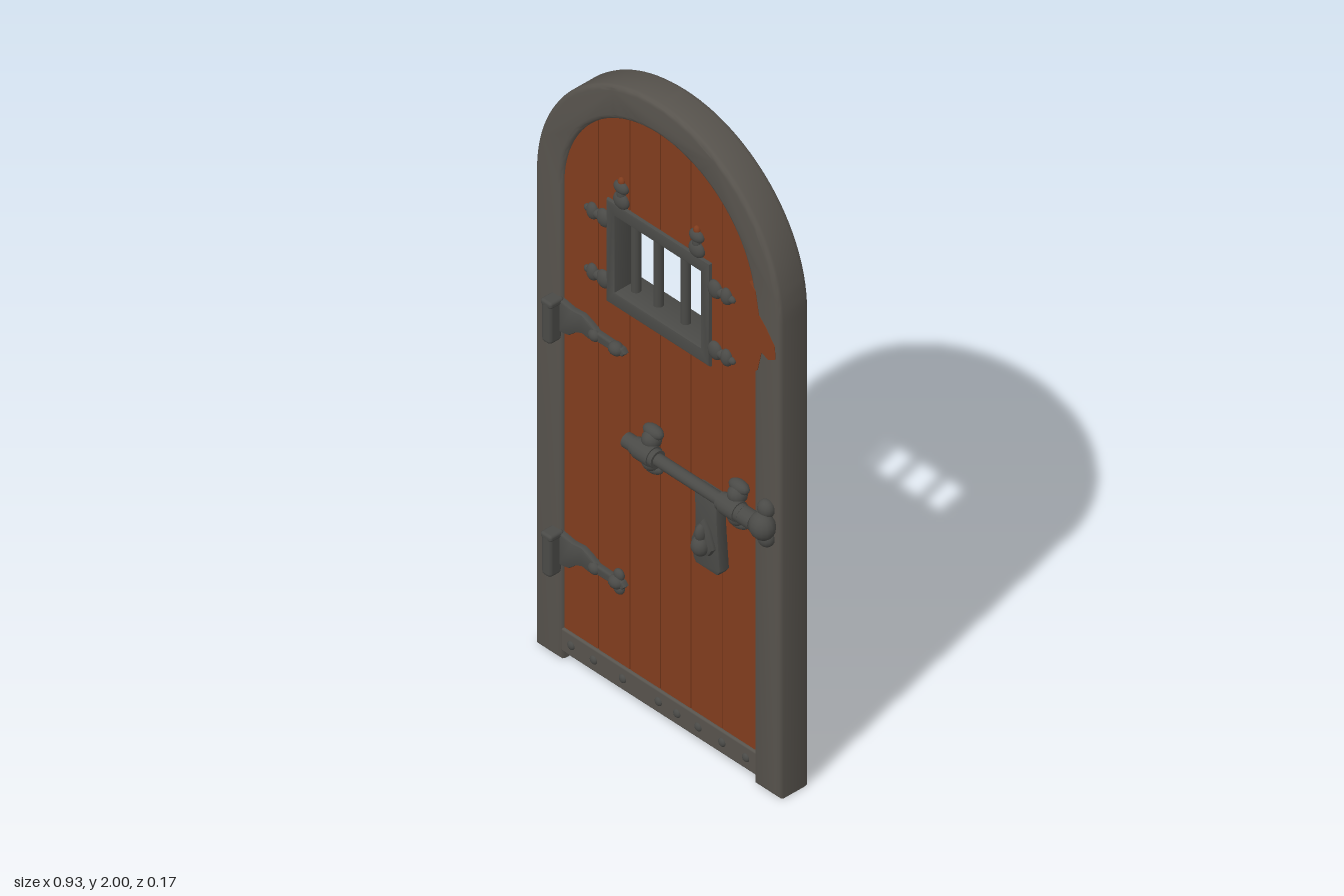
import * as THREE from 'three';
import { toCreasedNormals } from 'three/addons/utils/BufferGeometryUtils.js';
import { RoundedBoxGeometry } from 'three/addons/geometries/RoundedBoxGeometry.js';

const stone = new THREE.MeshStandardMaterial({ name: 'frame grey', color: 0x57534d });
const iron = new THREE.MeshStandardMaterial({ name: 'iron grey', color: 0x4a4a47 });
const wood = new THREE.MeshStandardMaterial({ name: 'red brown wood', color: 0x803c1d });

const ARCH_Y = 1.537; // spring line of the arch
const BACK = -0.085, FRONT = 0.02;
const WIN = { x: 0.18, y0: 1.28, y1: 1.565 };

function add(parent, name, geometry, material, x = 0, y = 0, z = 0) {
  const mesh = new THREE.Mesh(geometry, material);
  mesh.name = name;
  mesh.position.set(x, y, z);
  parent.add(mesh);
  return mesh;
}

// Extrudes a shape from z0 to z1 with an inset bevel
function slab(shape, z0, z1, bevel = 0, segments = 2) {
  const g = new THREE.ExtrudeGeometry(shape, {
    depth: z1 - z0 - 2 * bevel, curveSegments: 28, bevelEnabled: bevel > 0,
    bevelThickness: bevel, bevelSize: bevel, bevelOffset: -bevel, bevelSegments: segments,
  });
  g.translate(0, 0, z0 + bevel);
  return toCreasedNormals(g, 0.6);
}

const poly = (points) => new THREE.Shape(points.map(([x, y]) => new THREE.Vector2(x, y)));
const rect = (x0, x1, y0, y1) => poly([[x0, y0], [x1, y0], [x1, y1], [x0, y1]]);
const box = (w, h, d, r = 0.006) => new RoundedBoxGeometry(w, h, d, 2, r);

function ball(parent, name, x, y, z, rx, ry = rx, rz = rx, material = iron) {
  const m = add(parent, name, new THREE.SphereGeometry(1, 14, 10), material, x, y, z);
  m.scale.set(rx, ry, rz);
  return m;
}

// Strip of wood whose top follows the arch
function archedStrip(x0, x1, y0) {
  const pts = [[x0, y0], [x1, y0]];
  for (let i = 0; i <= 8; i++) {
    const x = x1 + (x0 - x1) * i / 8;
    pts.push([x, ARCH_Y + Math.sqrt(Math.max(0, 0.37 ** 2 - x * x))]);
  }
  return poly(pts);
}

function buildFrame(g) {
  const R = 0.463, r = 0.363;
  const s = new THREE.Shape();
  s.moveTo(R, 0);
  s.lineTo(R, ARCH_Y);
  s.absarc(0, ARCH_Y, R, 0, Math.PI, false);
  s.lineTo(-R, 0);
  s.lineTo(-r, 0);
  s.lineTo(-r, ARCH_Y);
  s.absarc(0, ARCH_Y, r, Math.PI, 0, true);
  s.lineTo(r, 0);
  add(g, 'archedFrame', slab(s, BACK, FRONT, 0.014, 3), stone);
  // Worn patch of wood colour on the frame
  add(g, 'wornPatch', slab(poly([
    [0.35, 1.32], [0.38, 1.35], [0.395, 1.415], [0.42, 1.405], [0.447, 1.42], [0.445, 1.46],
    [0.41, 1.505], [0.385, 1.53], [0.372, 1.6], [0.35, 1.62],
  ]), 0.012, 0.0215), wood);
}

function buildPlanks(g) {
  const door = archedStrip(-0.37, 0.37, 0.06);
  door.holes.push(rect(-WIN.x, WIN.x, WIN.y0, WIN.y1));
  add(g, 'doorCore', slab(door, -0.066, 0.003), wood);
  const edges = [-0.37, -0.235, -0.115, 0, 0.115, 0.235, 0.37];
  for (let i = 0; i < 6; i++) {
    const a = edges[i] + 0.0015, b = edges[i + 1] - 0.0015;
    const shapes = [];
    if (b < -WIN.x || a > WIN.x) shapes.push(archedStrip(a, b, 0.06));
    else {
      shapes.push(rect(a, b, 0.06, WIN.y0), archedStrip(a, b, WIN.y1));
      if (a < -WIN.x) shapes.push(rect(a, -WIN.x, WIN.y0, WIN.y1));
      if (b > WIN.x) shapes.push(rect(WIN.x, b, WIN.y0, WIN.y1));
    }
    shapes.forEach((s) => add(g, 'plank', slab(s, -0.071, 0.008), wood));
  }
}

function buildKickRail(g) {
  add(g, 'bottomRail', box(0.74, 0.075, 0.094), stone, 0, 0.063, -0.0315);
  for (const x of [-0.33, -0.245, -0.135, 0, 0.07, 0.15, 0.24, 0.33])
    for (const z of [0.015, -0.077]) ball(g, 'railRivet', x, 0.064, z, 0.013, 0.013, 0.008);
}

function buildWindow(g) {
  const s = rect(-0.197, 0.195, 1.255, 1.587);
  s.holes.push(rect(-0.163, 0.16, 1.3, 1.546));
  add(g, 'windowFrame', slab(s, -0.082, 0.019, 0.007), iron);
  for (const x of [-0.133, -0.048, 0.055, 0.14])
    add(g, 'windowBar', new THREE.CylinderGeometry(0.014, 0.014, 0.27, 12), iron, x, 1.423, -0.03);
  // Studded lugs around the opening, on both faces
  const lugs = [[-0.145, 1.61, 1], [0.14, 1.61, 1], [-0.215, 1.513, 0], [0.215, 1.513, 0], [-0.215, 1.315, 0], [0.215, 1.315, 0]];
  for (const [x, y, up] of lugs) {
    const d = Math.sign(x);
    for (const [z, thick] of [[0.01, 0.016], [-0.073, 0.012]]) {
      const lug = new THREE.Group();
      lug.name = 'windowLug';
      lug.position.set(x, y, z);
      lug.rotation.z = up ? Math.PI / 2 : d > 0 ? 0 : Math.PI;
      ball(lug, 'lugBase', -0.005, 0, 0, 0.026, 0.028, thick);
      ball(lug, 'lugNeck', 0.018, 0, 0, 0.026, 0.014, thick * 0.8);
      ball(lug, 'lugHead', 0.038, 0, 0, 0.02, 0.026, thick, up && z < 0 ? wood : iron);
      ball(lug, 'lugTip', 0.056, 0, 0, 0.014, 0.011, thick * 0.6, up ? wood : iron);
      g.add(lug);
    }
  }
}

function buildHinge(y, fancy) {
  const h = new THREE.Group();
  h.name = 'hinge';
  h.position.y = y;
  add(h, 'hingeKnuckle', box(0.036, 0.135, 0.046, 0.012), iron, -0.38, -0.02, 0.038);
  add(h, 'knuckleCap', box(0.042, 0.02, 0.05, 0.008), iron, -0.38, 0.04, 0.036);
  add(h, 'hingeStrap', slab(poly([
    [-0.37, -0.06], [-0.33, -0.052], [-0.305, -0.03], [-0.28, -0.018], [-0.255, -0.022], [-0.225, -0.014], [-0.13, -0.012],
    [-0.12, 0], [-0.13, 0.012], [-0.225, 0.014], [-0.25, 0.028], [-0.28, 0.04], [-0.32, 0.036], [-0.37, 0.045],
  ]), 0.004, 0.026, 0.005), iron);
  ball(h, 'strapStud', -0.235, 0, 0.022, 0.02, 0.018, 0.015);
  ball(h, 'strapTip', -0.155, 0, 0.02, 0.024, 0.02, 0.02);
  if (fancy) for (const s of [-1, 1]) ball(h, 'strapLeaf', -0.15, s * 0.022, 0.014, 0.018, 0.018, 0.012);
  // Ends clenched through the back
  ball(h, 'backClench', -0.155, 0.004, -0.072, 0.028, 0.02, 0.013);
  ball(h, 'backClenchTail', -0.205, 0.004, -0.071, 0.04, 0.01, 0.008, fancy ? wood : iron);
  if (fancy) {
    ball(h, 'backPlate', -0.3, -0.01, -0.072, 0.035, 0.022, 0.011);
    ball(h, 'backPlateEnd', -0.33, -0.02, -0.072, 0.02, 0.033, 0.011);
  }
  return h;
}

function buildBolt() {
  const b = new THREE.Group();
  b.name = 'slidingBolt';
  b.position.set(0, 0.88, 0.046);
  const across = (name, r, len, x) => {
    add(b, name, new THREE.CylinderGeometry(r, r, len, 16), iron, x).rotation.z = Math.PI / 2;
  };
  across('boltRod', 0.018, 0.5, 0.165);
  across('boltEnd', 0.022, 0.035, -0.07);
  for (const x of [-0.012, 0.312]) {
    across('boltCollar', 0.03, 0.055, x);
    across('collarRing', 0.026, 0.085, x);
    for (const s of [-1, 1]) {
      ball(b, 'bracketArm', x, s * 0.035, -0.018, 0.028, 0.028, 0.028);
      ball(b, 'bracketStud', x, s * 0.056, -0.024, 0.035, 0.02, 0.02);
    }
  }
  across('boltNeck', 0.026, 0.04, 0.375);
  ball(b, 'boltKnob', 0.422, 0, -0.002, 0.04, 0.04, 0.034);
  for (const s of [-1, 1]) ball(b, 'keeperStud', 0.42, s * 0.047, -0.018, 0.026, 0.027, 0.022);
  return b;
}

function buildLock() {
  const l = new THREE.Group();
  l.name = 'lock';
  add(l, 'lockHasp', slab(poly([
    [0.162, 0.87], [0.165, 0.76], [0.157, 0.635], [0.167, 0.62], [0.248, 0.62], [0.259, 0.635],
    [0.249, 0.76], [0.245, 0.87],
  ]), 0.004, 0.042, 0.006), iron);
  add(l, 'lockFace', slab(poly([
    [0.165, 0.705], [0.18, 0.68], [0.205, 0.67], [0.23, 0.68], [0.245, 0.705], [0.225, 0.76], [0.205, 0.785], [0.185, 0.76],
  ]), 0.035, 0.058, 0.007), iron);
  ball(l, 'lockKnob', 0.205, 0.705, 0.06, 0.026, 0.03, 0.025);
  ball(l, 'lockNose', 0.205, 0.745, 0.056, 0.016, 0.028, 0.02);
  return l;
}

export function createModel() {
  const g = new THREE.Group();
  g.name = 'archedDoor';
  buildFrame(g);
  buildPlanks(g);
  buildKickRail(g);
  buildWindow(g);
  g.add(buildHinge(1.125, false), buildHinge(0.37, true), buildBolt(), buildLock());
  return g;
}
